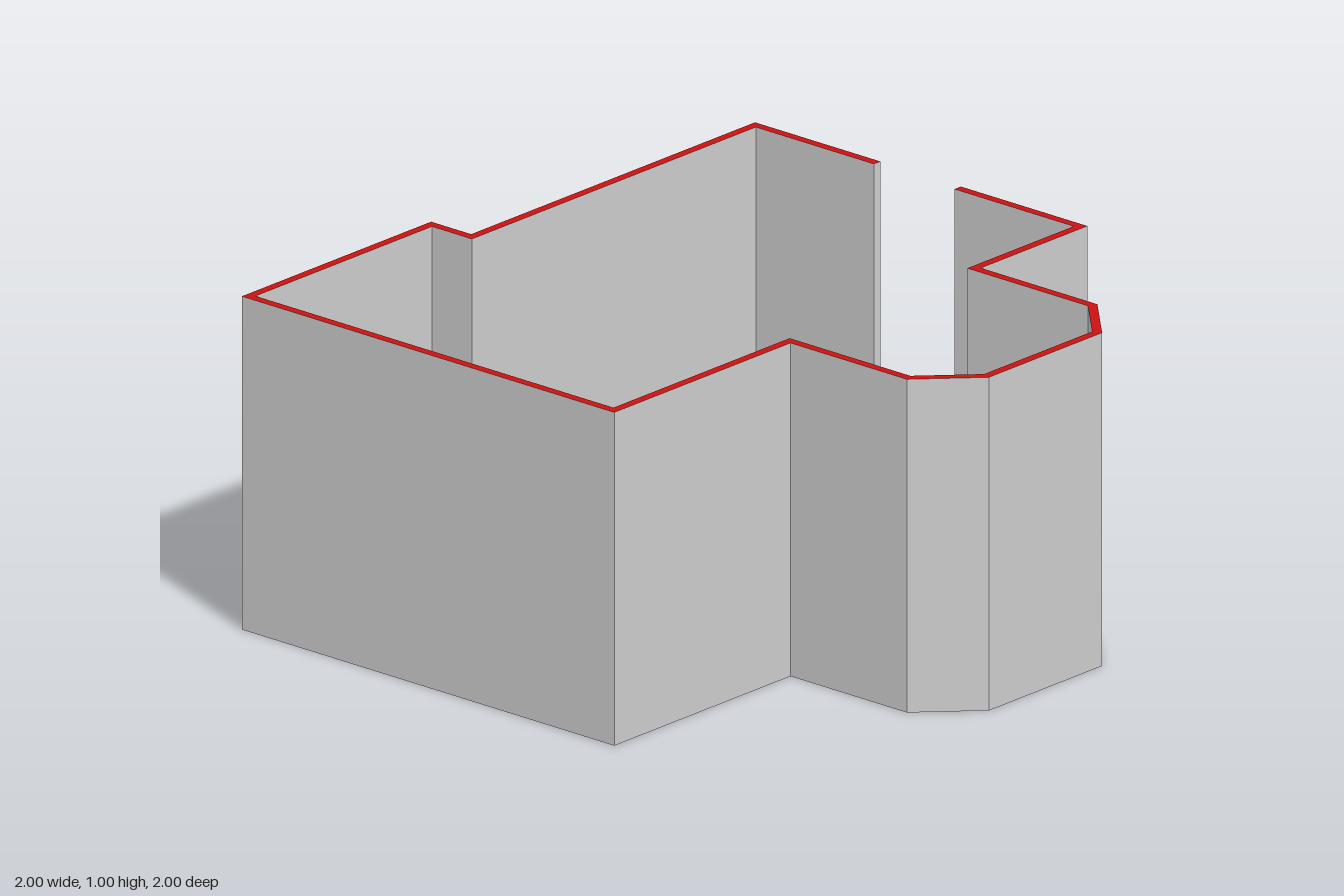
import * as THREE from 'three';

const HEIGHT = 1;
const THICKNESS = 0.027;

// Plan centreline [x, z], from one side of the doorway round to the other
const PLAN = [
  [0.9865, -0.378], [0.9865, -0.836], [-0.2135, -0.836], [-0.2135, -0.9865],
  [-0.9865, -0.9865], [-0.9865, 0.387], [-0.2415, 0.387], [-0.2415, 0.833],
  [-0.0845, 0.9865], [0.383, 0.9865], [0.5365, 0.833], [0.5365, 0.387],
  [0.9865, 0.387], [0.9865, -0.075],
];

// Parallel copy of an open path with mitred corners
function offsetPath(points, distance) {
  const normals = points.slice(1).map((p, i) => {
    const d = p.clone().sub(points[i]).normalize();
    return new THREE.Vector2(-d.y, d.x);
  });
  return points.map((p, i) => {
    const a = normals[Math.max(i - 1, 0)];
    const b = normals[Math.min(i, normals.length - 1)];
    const miter = a.clone().add(b).multiplyScalar(distance / (1 + a.dot(b)));
    return miter.add(p);
  });
}

export function createModel() {
  const group = new THREE.Group();
  group.name = 'roomWalls';

  // Shape y becomes -z once the extrusion is stood upright
  const path = PLAN.map(([x, z]) => new THREE.Vector2(x, -z));
  const outline = [
    ...offsetPath(path, THICKNESS / 2),
    ...offsetPath(path, -THICKNESS / 2).reverse(),
  ];
  const geometry = new THREE.ExtrudeGeometry(new THREE.Shape(outline), {
    depth: HEIGHT, bevelEnabled: false,
  });
  geometry.rotateX(-Math.PI / 2);

  // Split the end caps so only the top edge of the wall is coloured
  const caps = geometry.groups[0].count;
  const total = geometry.attributes.position.count;
  geometry.clearGroups();
  geometry.addGroup(0, caps / 2, 0);
  geometry.addGroup(caps / 2, caps / 2, 1);
  geometry.addGroup(caps, total - caps, 0);

  const grey = new THREE.MeshStandardMaterial({ color: 0xcccccc });
  const red = new THREE.MeshStandardMaterial({ color: 0xcc1111 });
  const walls = new THREE.Mesh(geometry, [grey, red]);
  walls.name = 'walls';
  group.add(walls);
  return group;
}
